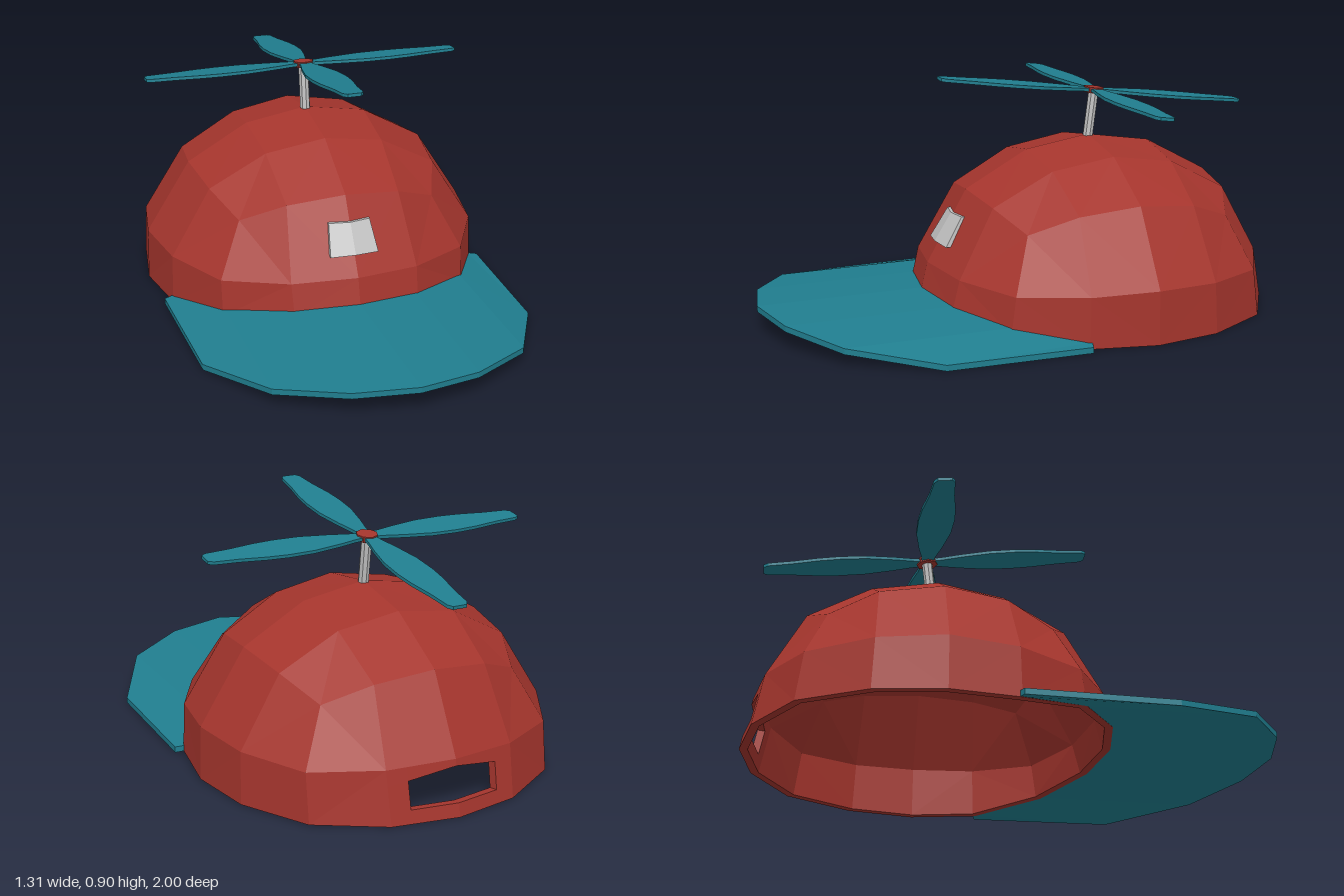
import * as THREE from 'three';

const red = new THREE.MeshStandardMaterial({ color: 0xa5352d });
red.name = 'redCloth';
const teal = new THREE.MeshStandardMaterial({ color: 0x207e8f });
teal.name = 'tealPlastic';
const grey = new THREE.MeshStandardMaterial({ color: 0xc0c0c0 });
grey.name = 'lightGrey';

const CZ = -0.315; // centre of the crown in z

function mesh(name, geometry, material) {
  const m = new THREE.Mesh(geometry, material);
  m.name = name;
  return m;
}

// Collects quads (counter-clockwise from outside) into a flat-shaded geometry,
// split along the shorter diagonal
function quadBuilder() {
  const pos = [];
  return {
    quad(a, b, c, d) {
      const tris = a.distanceTo(c) <= b.distanceTo(d) ? [a, b, c, a, c, d] : [b, c, d, b, d, a];
      for (const p of tris) pos.push(p.x, p.y, p.z);
    },
    build() {
      const g = new THREE.BufferGeometry();
      g.setAttribute('position', new THREE.Float32BufferAttribute(pos, 3));
      g.computeVertexNormals();
      return g;
    },
  };
}

// Height of the underside of the arched brim at a given x
function brimHeight(x) {
  const xs = [0, 0.24, 0.475, 0.628], ys = [0.08, 0.07, 0.045, 0];
  x = Math.abs(x);
  for (let i = 0; i < 3; i++) {
    if (x <= xs[i + 1]) return THREE.MathUtils.mapLinear(x, xs[i], xs[i + 1], ys[i], ys[i + 1]);
  }
  return 0;
}

// Rounded cube grid: grid levels, largest first -> radii for level 2 and level 1
const ROUND = {
  200: [1, 0], 210: [0.938, 0.37], 211: [0.878, 0.355],
  220: [0.73, 0], 221: [0.69, 0.335], 222: [0.585, 0],
};

// Point of the crown at integer grid levels from -2 to 2
function crownPoint(x, y, z, inner) {
  const key = [x, y, z].map(Math.abs).sort((a, b) => b - a).join('');
  const [big, small] = ROUND[key];
  const r = (l) => Math.sign(l) * (Math.abs(l) === 2 ? big : small);
  const p = new THREE.Vector3(r(x) * 0.655, r(y) * 0.645, r(z) * 0.685);
  if (y === 1) p.multiply(new THREE.Vector3(1.058, 0.84, z > 0 ? 1.02 : 1.008)); // upright lower wall
  if (y === 0 && p.z > 0.1) p.y = brimHeight(p.x); // front rim follows the brim
  if (inner) p.multiply(new THREE.Vector3(0.955, y === 0 ? 1 : 0.955, 0.955));
  p.z += CZ;
  return p;
}

function makeCrown() {
  const q = quadBuilder();
  // Top grid, outside and inside
  for (let i = -2; i < 2; i++) for (let j = -2; j < 2; j++) {
    for (const inner of [false, true]) {
      const c = [[i, j], [i, j + 1], [i + 1, j + 1], [i + 1, j]]
        .map(([x, z]) => crownPoint(x, 2, z, inner));
      if (inner) c.reverse();
      q.quad(...c);
    }
  }
  // Four sides; the back one has the opening
  for (let k = 0; k < 4; k++) for (let r = 0; r < 2; r++) for (let i = -2; i < 2; i++) {
    const corner = (a, b, inner) => {
      let x = a, z = 2;
      for (let s = 0; s < k; s++) [x, z] = [z, -x];
      return crownPoint(x, b, z, inner);
    };
    const cell = [false, true].map((inner) =>
      [corner(i, r, inner), corner(i + 1, r, inner), corner(i + 1, r + 1, inner), corner(i, r + 1, inner)]);
    const at = (s, u, v) => {
      const [a, b, c, d] = cell[s];
      return a.clone().lerp(b, u).lerp(d.clone().lerp(c, u), v);
    };
    const hole = k === 2 && r === 0 && (i === -1 || i === 0);
    const first = i === -1;
    const us = !hole ? [0, 1] : first ? [0, 0.3, 1] : [0, 0.7, 1];
    const holeCol = first ? 1 : 0;
    const vs = (u) => (hole ? [0, 0.25, 0.88 - 0.18 * Math.abs(u - holeCol), 1] : [0, 1]);
    for (let m = 0; m < us.length - 1; m++) {
      const u0 = us[m], u1 = us[m + 1], v0 = vs(u0), v1 = vs(u1);
      for (let n = 0; n < v0.length - 1; n++) {
        const [o, p] = [0, 1].map((s) =>
          [at(s, u0, v0[n]), at(s, u1, v1[n]), at(s, u1, v1[n + 1]), at(s, u0, v0[n + 1])]);
        if (r === 0 && n === 0) q.quad(o[0], p[0], p[1], o[1]); // bottom rim
        if (hole && m === holeCol && n === 1) {
          q.quad(o[0], o[1], p[1], p[0]); // opening sill
          q.quad(o[3], p[3], p[2], o[2]); // opening top
          if (first) q.quad(o[0], p[0], p[3], o[3]);
          else q.quad(o[1], o[2], p[2], p[1]);
          continue;
        }
        q.quad(...o);
        q.quad(...p.reverse());
      }
    }
  }
  return mesh('crown', q.build(), red);
}

function makeBrim() {
  const q = quadBuilder();
  // Half outlines, from the right end to the middle, then mirrored
  const mirror = (half) => [...half.map(([x, z]) => [-x, z]), ...half.slice(0, -1).reverse()];
  const outer = mirror([[0.647, -0.06], [0.63, 0.48], [0.465, 0.795], [0.23, 0.945], [0, 0.995]]);
  const inner = mirror([[0.615, -0.07], [0.61, -0.06], [0.47, 0.16], [0.235, 0.315], [0, 0.355]]);
  const point = ([x, z], top) => new THREE.Vector3(x, brimHeight(x) + (top ? 0.023 : 0.001), z);
  for (let i = 0; i < outer.length - 1; i++) {
    const [o0, o1, n0, n1] = [outer[i], outer[i + 1], inner[i], inner[i + 1]];
    q.quad(point(n0, 1), point(o0, 1), point(o1, 1), point(n1, 1));
    q.quad(point(n1, 0), point(o1, 0), point(o0, 0), point(n0, 0));
    q.quad(point(o0, 0), point(o1, 0), point(o1, 1), point(o0, 1));
    q.quad(point(n1, 0), point(n0, 0), point(n0, 1), point(n1, 1));
  }
  for (const [i, flip] of [[0, false], [outer.length - 1, true]]) {
    const end = [point(inner[i], 0), point(outer[i], 0), point(outer[i], 1), point(inner[i], 1)];
    q.quad(...(flip ? end.reverse() : end));
  }
  return mesh('brim', q.build(), teal);
}

// Badge plate folded along its middle to lie on the crown
function makeBadge() {
  let g = new THREE.BoxGeometry(2, 1, 1, 2, 1, 1);
  const p = g.attributes.position;
  for (let i = 0; i < p.count; i++) {
    const x = p.getX(i), v = p.getY(i) + 0.5, d = p.getZ(i) - 0.5;
    const y = 0.28 + 0.105 * v - 0.004 * Math.abs(x) * (1 - v);
    p.setXYZ(i, x * (0.093 - 0.013 * v), y, 0.311 - 0.066 * v + 0.024 * d - 0.014 * Math.abs(x));
  }
  g = g.toNonIndexed();
  g.computeVertexNormals();
  return mesh('badge', g, grey);
}

function makePropeller() {
  const group = new THREE.Group();
  group.name = 'propeller';
  group.position.set(0, 0.817, -0.338);
  group.rotation.x = -0.128;

  const rod = new THREE.CylinderGeometry(0.02, 0.02, 0.2, 8).toNonIndexed();
  rod.computeVertexNormals();
  const rodMesh = mesh('rod', rod, grey);
  rodMesh.position.y = -0.1;
  const hub = new THREE.CylinderGeometry(0.04, 0.04, 0.022, 8).toNonIndexed();
  hub.computeVertexNormals();
  group.add(rodMesh, mesh('hub', hub, red));

  // Blade outline: distance from the hub and half width
  const edge = [[0.02, 0.022], [0.06, 0.028], [0.13, 0.045], [0.24, 0.065], [0.34, 0.068],
    [0.42, 0.062], [0.52, 0.046], [0.61, 0.038], [0.628, 0.026]];
  const outline = [...edge, ...edge.map(([r, w]) => [r, -w]).reverse()];
  const shape = new THREE.Shape(outline.map(([r, w]) => new THREE.Vector2(r, w)));
  const blade = new THREE.ExtrudeGeometry(shape, { depth: 0.012, bevelEnabled: false });
  blade.rotateX(-Math.PI / 2).translate(0, -0.006, 0);
  for (let i = 0; i < 4; i++) {
    const b = mesh('blade', blade, teal);
    b.rotation.y = i * Math.PI / 2;
    group.add(b);
  }
  return group;
}

export function createModel() {
  const model = new THREE.Group();
  model.name = 'propellerCap';
  model.add(makeCrown(), makeBrim(), makeBadge(), makePropeller());
  return model;
}
